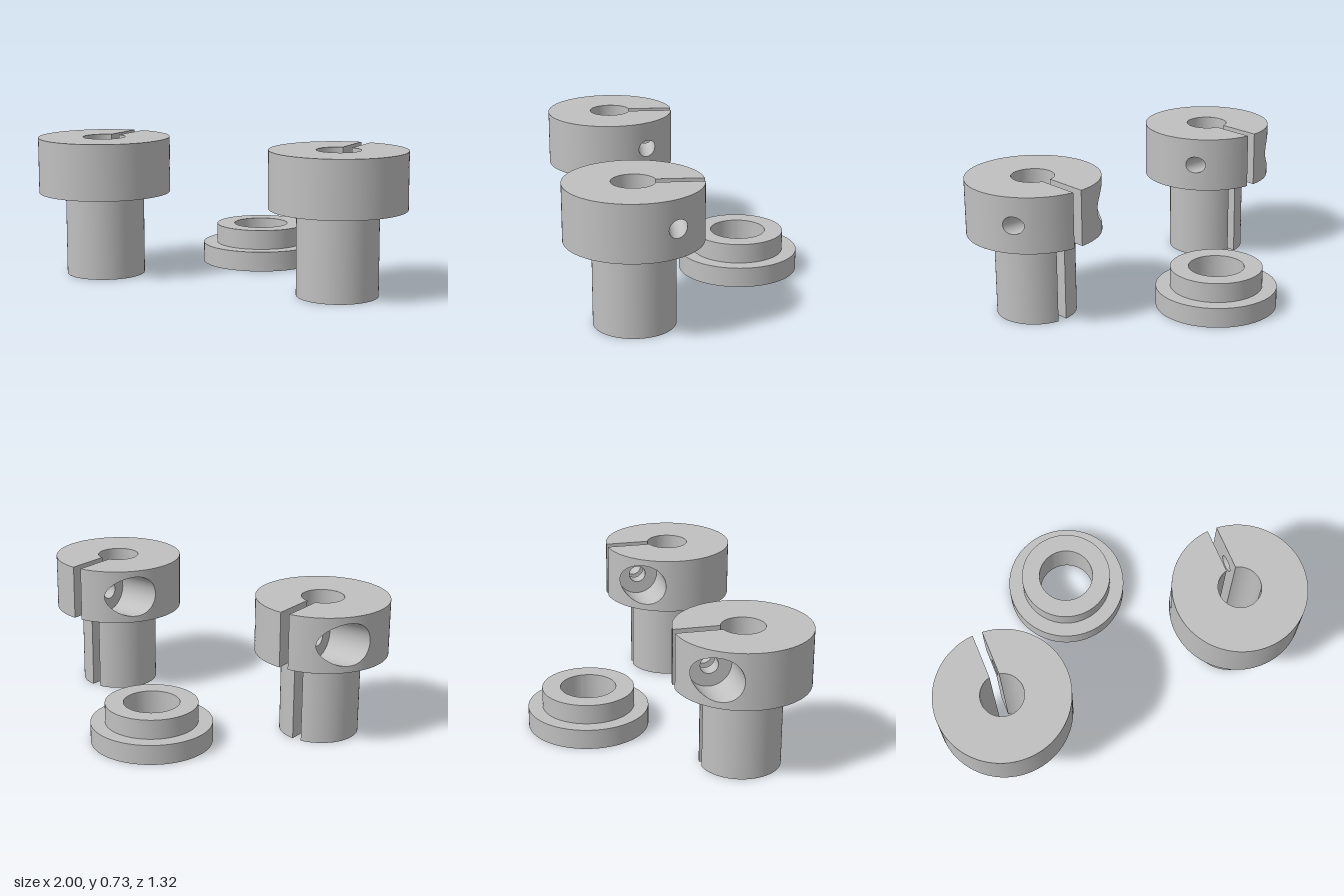
import * as THREE from 'three';
import { toCreasedNormals } from 'three/addons/utils/BufferGeometryUtils.js';
import { ParametricGeometry } from 'three/addons/geometries/ParametricGeometry.js';

const BORE = 0.11, STEM = 0.205, HEAD = 0.344;      // radii
const STEM_TOP = 0.435, TOP = 0.725;                // heights
const SLOT = 0.025;                                 // half width of the slot
const HOLE_Z = -0.193, HOLE_Y = 0.58;               // cross hole axis
const SCREW = 0.045, SEAT = 0.111, SEAT_X = 0.1;    // screw hole, counterbore, its floor
const WIN_A = THREE.MathUtils.degToRad(-72), WIN_B = THREE.MathUtils.degToRad(-4);

const gray = new THREE.MeshStandardMaterial({ color: 0xc0c0c0, side: THREE.DoubleSide });
gray.name = 'gray';

function add(group, name, geometry, x = 0, y = 0, z = 0) {
  const mesh = new THREE.Mesh(geometry, gray);
  mesh.name = name;
  mesh.position.set(x, y, z);
  group.add(mesh);
}

// Upright curved wall; angles run from +z towards +x
function wall(r, y0, y1, from, to, segments = 96) {
  return new THREE.CylinderGeometry(r, r, y1 - y0, segments, 1, true, from, to - from)
    .translate(0, (y0 + y1) / 2, 0);
}

// Wall that leaves the slot open at the back
function slottedWall(r, y0, y1) {
  const end = Math.PI - Math.asin(SLOT / r);
  return wall(r, y0, y1, -end, end);
}

// Flat ring with the slot cut out at the back
function slottedRing(ri, ro) {
  const a = Math.asin(SLOT / ro), b = Math.asin(SLOT / ri), q = Math.PI / 2;
  const shape = new THREE.Shape();
  shape.absarc(0, 0, ro, q + a, 5 * q - a, false);
  shape.absarc(0, 0, ri, 5 * q - b, q + b, true);
  return new THREE.ShapeGeometry(shape, 96).rotateX(-q);
}

// Flat side of the slot, pierced by the screw hole
function slotSide() {
  const [i, s, o] = [BORE, STEM, HEAD].map(r => Math.sqrt(r * r - SLOT * SLOT));
  const shape = new THREE.Shape([[i, 0], [s, 0], [s, STEM_TOP], [o, STEM_TOP], [o, TOP], [i, TOP]]
    .map(p => new THREE.Vector2(...p)));
  shape.holes.push(new THREE.Path().absarc(-HOLE_Z, HOLE_Y, SCREW, 0, Math.PI * 2, true));
  return new THREE.ShapeGeometry(shape, 32).rotateY(Math.PI / 2);
}

// Patch of the head wall around a round hole drilled along x
function piercedWall(side, r) {
  return new ParametricGeometry((u, v, p) => {
    const t = side * u * Math.PI * 2, c = Math.cos(t), s = Math.sin(t);
    const k = 1 / Math.max(Math.abs(c), Math.abs(s));
    const lerp = THREE.MathUtils.lerp;
    const angle = lerp(Math.asin((HOLE_Z + r * c) / HEAD), lerp(WIN_A, WIN_B, (1 + c * k) / 2), v);
    const y = lerp(HOLE_Y + r * s, lerp(STEM_TOP, TOP, (1 + s * k) / 2), v);
    p.set(side * HEAD * Math.cos(angle), y, HEAD * Math.sin(angle));
  }, 64, 6);
}

// Inside of a hole along x; without an outer end it runs to the head wall
function holeTube(side, r, x0, x1) {
  return new ParametricGeometry((u, v, p) => {
    const t = side * u * Math.PI * 2, z = HOLE_Z + r * Math.cos(t);
    const end = x1 ?? Math.sqrt(HEAD * HEAD - z * z);
    p.set(side * THREE.MathUtils.lerp(x0, end, v), HOLE_Y + r * Math.sin(t), z);
  }, 64, 1);
}

function clampBushing(name) {
  const g = new THREE.Group();
  g.name = name;
  // Stem and bore
  add(g, 'stemWall', slottedWall(STEM, 0, STEM_TOP));
  add(g, 'boreWall', slottedWall(BORE, 0, TOP));
  add(g, 'stemBottom', slottedRing(BORE, STEM).rotateX(Math.PI));
  g.children.at(-1).geometry.scale(1, 1, -1).index.array.reverse();
  g.children.at(-1).geometry.computeVertexNormals();
  // Head
  add(g, 'headTop', slottedRing(BORE, HEAD), 0, TOP);
  add(g, 'headUnderside', slottedRing(STEM, HEAD), 0, STEM_TOP);
  const q = Math.PI / 2, slotEdge = Math.PI - Math.asin(SLOT / HEAD);
  add(g, 'headWall', wall(HEAD, STEM_TOP, TOP, WIN_B - q, q - WIN_B));
  add(g, 'headWallLeft', wall(HEAD, STEM_TOP, TOP, q - WIN_A, slotEdge, 8));
  add(g, 'headWallRight', wall(HEAD, STEM_TOP, TOP, -slotEdge, WIN_A - q, 8));
  add(g, 'screwHoleWall', piercedWall(1, SCREW));
  add(g, 'counterboreWall', piercedWall(-1, SEAT));
  // Slot sides
  for (const side of [-1, 1]) add(g, 'slotSide', slotSide(), side * SLOT);
  // Cross hole with a counterbore on one side
  add(g, 'screwHole', holeTube(1, SCREW, SLOT));
  add(g, 'innerScrewHole', holeTube(-1, SCREW, SLOT, SEAT_X));
  add(g, 'counterbore', holeTube(-1, SEAT, SEAT_X));
  add(g, 'counterboreFloor', new THREE.RingGeometry(SCREW, SEAT, 64).rotateY(-q), -SEAT_X, HOLE_Y, HOLE_Z);
  return g;
}

export function createModel() {
  const model = new THREE.Group();
  model.name = 'bushingSet';

  // Two split clamp bushings
  for (const [name, x, z] of [['rightClampBushing', -0.656, 0.316], ['leftClampBushing', 0.656, 0.246]]) {
    const bushing = clampBushing(name);
    bushing.position.set(x, 0, z);
    model.add(bushing);
  }

  // Stepped collar
  const profile = [[0.145, 0], [0.315, 0], [0.315, 0.105], [0.24, 0.105], [0.24, 0.208], [0.145, 0.208], [0.145, 0]]
    .map(p => new THREE.Vector2(...p));
  add(model, 'steppedCollar', toCreasedNormals(new THREE.LatheGeometry(profile, 96), 0.6), -0.065, 0, -0.344);
  return model;
}
